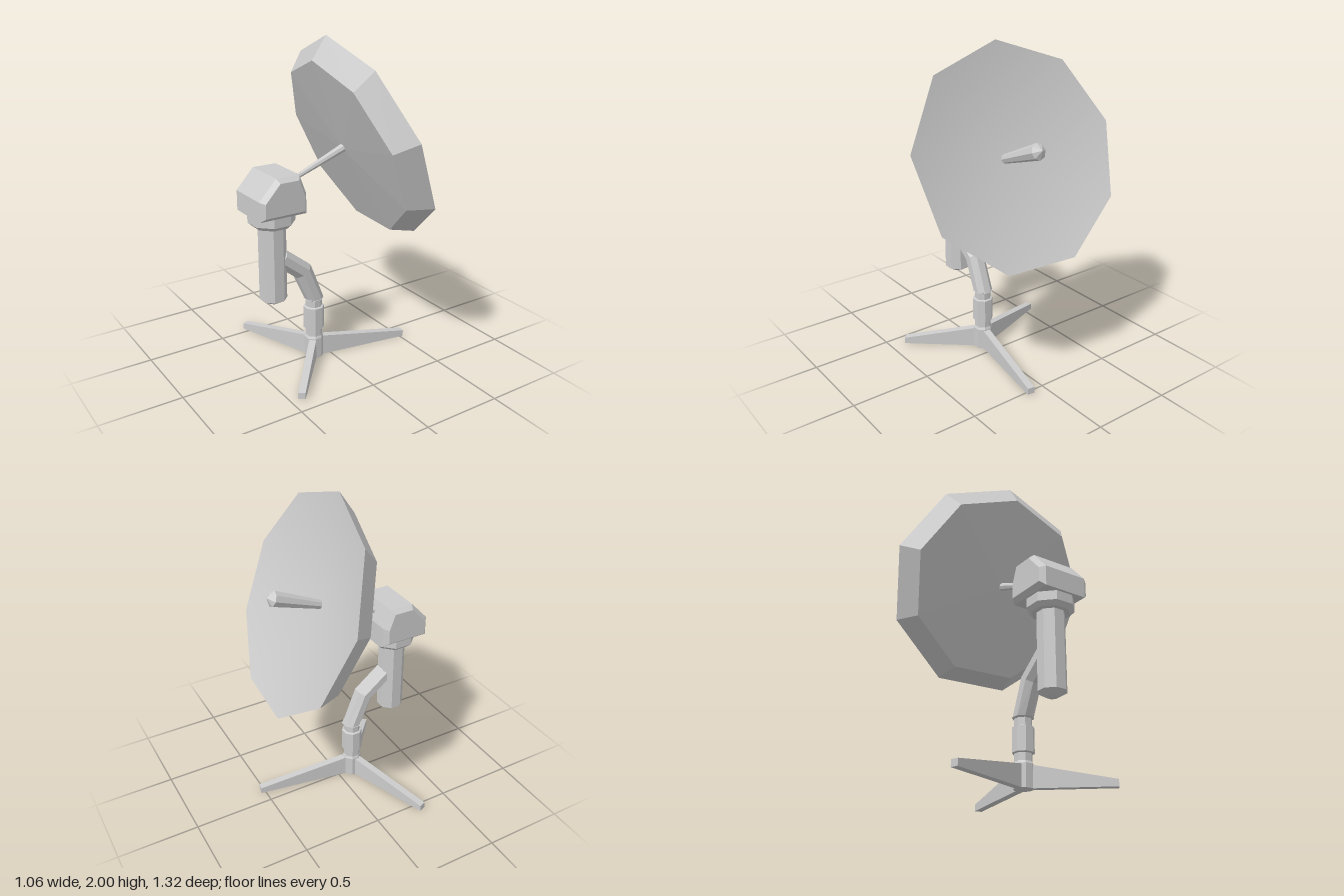
import * as THREE from 'three';
import { mergeVertices } from 'three/addons/utils/BufferGeometryUtils.js';

const flat = new THREE.MeshStandardMaterial({ color: 0xcccccc, flatShading: true });
const smooth = new THREE.MeshStandardMaterial({ color: 0xcccccc, side: THREE.DoubleSide });

function addMesh(parent, name, geometry, material = flat) {
  const mesh = new THREE.Mesh(geometry, material);
  mesh.name = name;
  parent.add(mesh);
  return mesh;
}

// Faceted turned part; points are [radius, height], listed from bottom to top
function turned(points, sides) {
  return new THREE.LatheGeometry(points.map(([r, y]) => new THREE.Vector2(r, y)), sides);
}

// Octagonal part with flats facing the axes; radii are measured to the flats
function octagon(points) {
  const k = 1 / Math.cos(Math.PI / 8);
  return turned(points.map(([r, y]) => [r * k, y]), 8).rotateY(Math.PI / 8);
}

// Octagonal bent bar swept through three points in the xy plane
function bentBar(path, radius) {
  const geometry = new THREE.CylinderGeometry(radius, radius, 2, 8, 2);
  geometry.rotateY(Math.PI / 8);
  const pos = geometry.attributes.position;
  for (let i = 0; i < pos.count; i++) {
    const { x, y, nx, ny } = path[Math.round(pos.getY(i)) + 1];
    const offset = pos.getX(i);
    pos.setXY(i, x + offset * nx, y + offset * ny);
  }
  geometry.computeVertexNormals();
  return geometry;
}

export function createModel() {
  const model = new THREE.Group();
  model.name = 'dishAntenna';

  // Tripod legs: tapered wedges spreading from the hub
  const hubX = -0.1;
  const feet = [[0.525, 0.105], [-0.3, -0.553], [-0.432, 0.392]];
  feet.forEach(([x, z]) => {
    const length = Math.hypot(x - hubX, z);
    const side = new THREE.Shape([
      new THREE.Vector2(0, 0), new THREE.Vector2(length, 0),
      new THREE.Vector2(length, 0.04), new THREE.Vector2(0.02, 0.135),
    ]);
    const geometry = new THREE.ExtrudeGeometry(side, { depth: 0.044, bevelEnabled: false });
    geometry.translate(0, 0, -0.022);
    const leg = addMesh(model, 'leg', geometry);
    leg.position.x = hubX;
    leg.rotation.y = Math.atan2(-z, x - hubX);
  });

  // Hub and stepped post
  addMesh(model, 'post', octagon([
    [0, 0], [0.055, 0], [0.055, 0.135], [0.048, 0.15], [0.048, 0.195], [0.06, 0.2],
    [0.06, 0.345], [0.048, 0.35], [0.048, 0.395], [0.06, 0.402], [0, 0.402],
  ])).position.x = hubX;

  // Bent arm linking the post and the column
  addMesh(model, 'arm', bentBar([
    { x: -0.098, y: 0.4, nx: 1, ny: 0 },
    { x: -0.183, y: 0.605, nx: 0.87, ny: 0.6 },
    { x: -0.335, y: 0.725, nx: 0.64, ny: 0.77 },
  ], 0.06));

  // Hanging column and collar under the head
  addMesh(model, 'column', octagon([
    [0, 0.435], [0.03, 0.442], [0.077, 0.472], [0.077, 0.97],
  ])).position.set(-0.382, 0, -0.005);
  addMesh(model, 'collar', octagon([
    [0, 0.94], [0.105, 0.94], [0.13, 0.965], [0.13, 1.03], [0, 1.03],
  ])).position.set(-0.382, 0, -0.005);

  // Motor head with chamfered ends
  const outline = [[-0.53, 1.02], [-0.225, 1.02], [-0.225, 1.14], [-0.27, 1.26], [-0.42, 1.26], [-0.53, 1.14]];
  const headShape = new THREE.Shape(outline.map(([x, y]) => new THREE.Vector2(x, y)));
  addMesh(model, 'head', new THREE.ExtrudeGeometry(headShape, {
    depth: 0.27, bevelThickness: 0.03, bevelSize: 0.025, bevelOffset: -0.025, bevelSegments: 1,
  })).position.z = -0.145;

  // Tapered feed rod running from the head through the dish
  const rod = addMesh(model, 'feedRod', turned([
    [0, 0], [0.013, 0], [0.026, 0.37], [0.049, 0.72], [0, 0.755],
  ], 8));
  rod.position.set(-0.25, 1.188, 0);
  rod.rotation.z = -Math.PI / 2 + Math.atan2(0.262, 0.67);

  // Nine-sided dish, tilted upward and turned slightly towards the front
  const dish = new THREE.Group();
  dish.name = 'dish';
  const axis = new THREE.Vector3(1, 0.414, 0.075).normalize();
  const up = new THREE.Vector3(0, 1, 0).addScaledVector(axis, -axis.y).normalize();
  const across = new THREE.Vector3().crossVectors(axis, up);
  dish.quaternion.setFromRotationMatrix(new THREE.Matrix4().makeBasis(across, axis, up));
  dish.position.set(0.26, 1.38, 0);
  model.add(dish);

  addMesh(dish, 'dishBack', turned([[0, -0.157], [0.578, -0.137], [0.67, 0]], 9));
  const bowl = turned([[0.67, 0], [0, -0.15]], 9);
  bowl.deleteAttribute('normal');
  bowl.deleteAttribute('uv');
  const bowlSmooth = mergeVertices(bowl);
  bowlSmooth.computeVertexNormals();
  addMesh(dish, 'dishBowl', bowlSmooth, smooth);

  return model;
}
